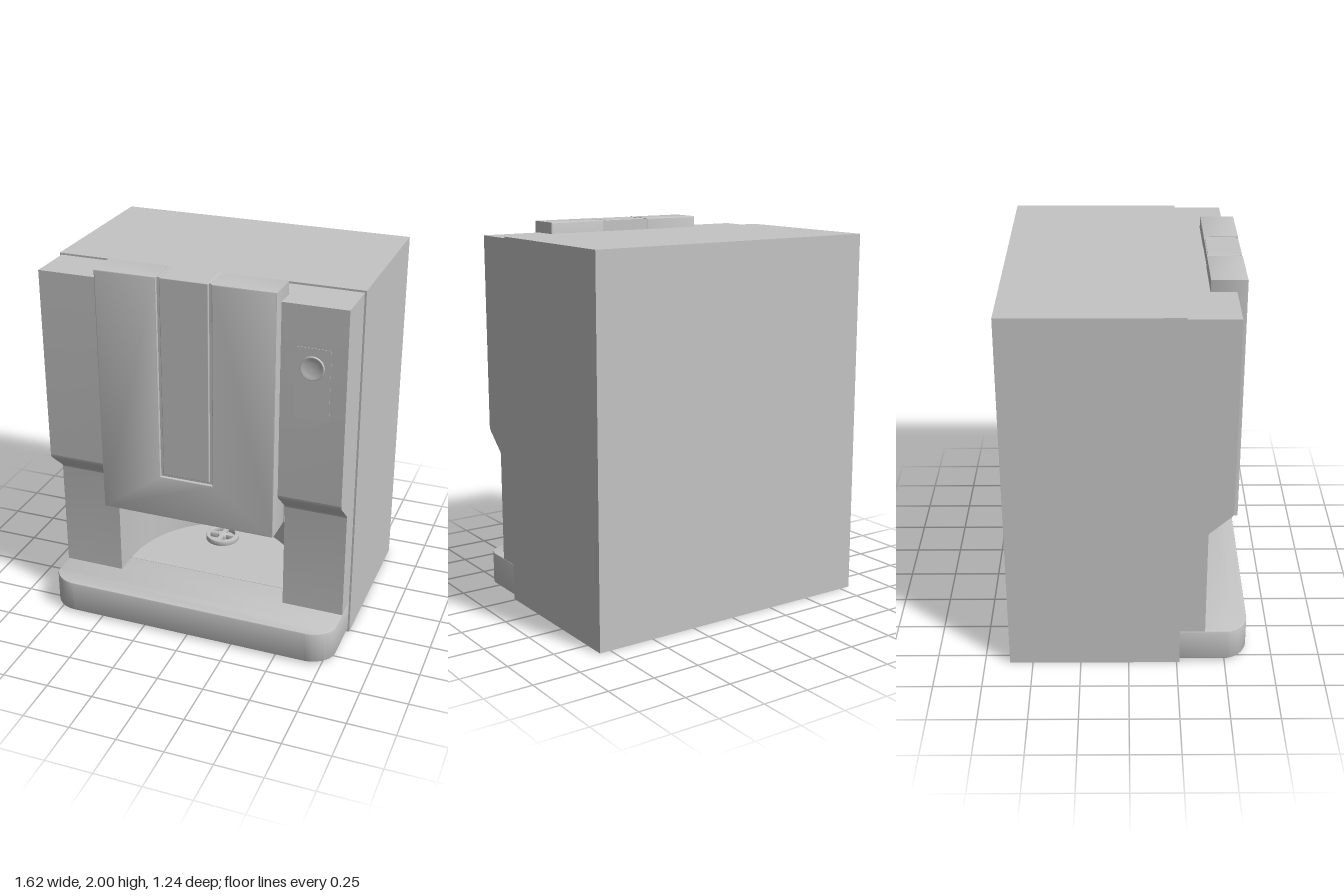
import * as THREE from 'three';
import { toCreasedNormals } from 'three/addons/utils/BufferGeometryUtils.js';
import { RoundedBoxGeometry } from 'three/addons/geometries/RoundedBoxGeometry.js';

export function createModel() {
  const group = new THREE.Group();
  const grey = new THREE.MeshStandardMaterial({ color: 0xc4c4c4 });
  grey.name = 'lightGrey';

  function add(name, geometry, x = 0, y = 0, z = 0) {
    const mesh = new THREE.Mesh(geometry, grey);
    mesh.name = name;
    mesh.position.set(x, y, z);
    group.add(mesh);
    return mesh;
  }
  // Box given by its limits on each axis
  function box(name, x0, x1, y0, y1, z0, z1, radius = 0) {
    const size = [x1 - x0, y1 - y0, z1 - z0];
    const geometry = radius
      ? new RoundedBoxGeometry(...size, 2, radius)
      : new THREE.BoxGeometry(...size);
    return add(name, geometry, (x0 + x1) / 2, (y0 + y1) / 2, (z0 + z1) / 2);
  }
  function extrude(shape, depth, bevel = 0) {
    return toCreasedNormals(new THREE.ExtrudeGeometry(shape, {
      depth: depth - 2 * bevel, curveSegments: 32, bevelEnabled: bevel > 0,
      bevelSize: bevel, bevelThickness: bevel, bevelOffset: -bevel, bevelSegments: 2,
    }).translate(0, 0, bevel), 0.5);
  }
  // Plan outline (x, -z) raised along y
  const raise = (shape, height, bevel) => extrude(shape, height, bevel).rotateX(-Math.PI / 2);

  // Cabinet: solid top and foot, with a curved brewing bay between
  box('cabinetTop', -0.81, 0.81, 0.69, 1.95, -0.62, 0.265);
  box('cabinetFoot', -0.81, 0.81, 0, 0.19, -0.62, 0.265);
  const bay = new THREE.Shape();
  bay.moveTo(-0.81, -0.265);
  bay.lineTo(-0.47, -0.265);
  bay.absellipse(0, -0.265, 0.47, 0.545, Math.PI, 0, true);
  bay.lineTo(0.81, -0.265);
  bay.lineTo(0.81, 0.62);
  bay.lineTo(-0.81, 0.62);
  bay.closePath();
  add('cabinetBay', raise(bay, 0.5), 0, 0.19, 0);

  // Front columns: a side profile (z, y) swept across x
  const profile = new THREE.Shape();
  profile.moveTo(0.265, 0.19);
  profile.lineTo(0.395, 0.19);
  profile.lineTo(0.395, 0.775);
  profile.quadraticCurveTo(0.395, 0.79, 0.41, 0.8);
  profile.lineTo(0.505, 0.885);
  profile.quadraticCurveTo(0.518, 0.897, 0.518, 0.915);
  profile.lineTo(0.518, 1.94);
  profile.lineTo(0.265, 1.94);
  profile.closePath();
  for (const [name, x] of [['leftColumn', 0.8], ['rightColumn', -0.47]]) {
    const column = add(name, extrude(profile, 0.33).rotateY(-Math.PI / 2), x, 0, 0);
    // the turned sweep runs toward -x and keeps profile x as z
    column.position.x = x;
  }
  box('doorBacking', -0.47, 0.47, 0.69, 1.94, 0.265, 0.4);

  // Drip base with rounded front corners
  const base = new THREE.Shape();
  base.moveTo(-0.8, -0.26);
  base.lineTo(-0.8, -0.51);
  base.bezierCurveTo(-0.79, -0.57, -0.73, -0.62, -0.66, -0.62);
  base.lineTo(0.66, -0.62);
  base.bezierCurveTo(0.73, -0.62, 0.79, -0.57, 0.8, -0.51);
  base.lineTo(0.8, -0.26);
  base.closePath();
  add('dripBase', raise(base, 0.175, 0.008), 0, 0.015, 0);

  // Door with a long open slot and an inset strip
  const door = new THREE.Shape();
  [[-0.47, 0.69], [0.465, 0.69], [0.465, 2], [0.14, 2], [0.14, 0.925],
    [-0.145, 0.925], [-0.145, 2], [-0.47, 2]]
    .forEach(([x, y], i) => (i ? door.lineTo(x, y) : door.moveTo(x, y)));
  door.closePath();
  add('door', extrude(door, 0.18, 0.005), 0, 0, 0.39);
  box('slotBack', -0.147, 0.142, 0.92, 1.998, 0.392, 0.555);
  box('doorStrip', -0.128, 0.123, 0.94, 2, 0.395, 0.568, 0.004);

  // Control panel and button on the left column
  box('controlPanel', 0.545, 0.72, 1.36, 1.73, 0.516, 0.52);
  const buttonProfile = [[0, 0.004], [0.025, 0.005], [0.045, 0.009], [0.056, 0.014], [0.06, 0.012], [0.06, 0]]
    .map(([r, y]) => new THREE.Vector2(r, y)).reverse();
  add('button', new THREE.LatheGeometry(buttonProfile, 40).rotateX(Math.PI / 2), 0.63, 1.63, 0.519);

  // Brewing outlet under the ceiling of the bay
  add('spout', new THREE.CylinderGeometry(0.135, 0.135, 0.09, 40), 0, 0.645, 0.055);
  box('spoutBracket', -0.15, 0.15, 0.57, 0.69, -0.27, -0.06);

  // Cup holder: spoked ring on an arm from the back wall
  const ring = new THREE.Shape();
  ring.absarc(0, 0, 0.092, 0, Math.PI * 2, false);
  for (let i = 0; i < 4; i++) {
    const a = i * Math.PI / 2;
    const hole = new THREE.Path();
    hole.absarc(0, 0, 0.07, a + 0.17, a + Math.PI / 2 - 0.17, false);
    hole.absarc(0, 0, 0.026, a + Math.PI / 2 - 0.4, a + 0.4, true);
    hole.closePath();
    ring.holes.push(hole);
  }
  add('cupRing', raise(ring, 0.03, 0.003), 0, 0.3, 0.055);
  for (const x of [-0.022, 0.022])
    box('cupRingArm', x - 0.009, x + 0.009, 0.302, 0.328, -0.29, -0.025);

  return group;
}
